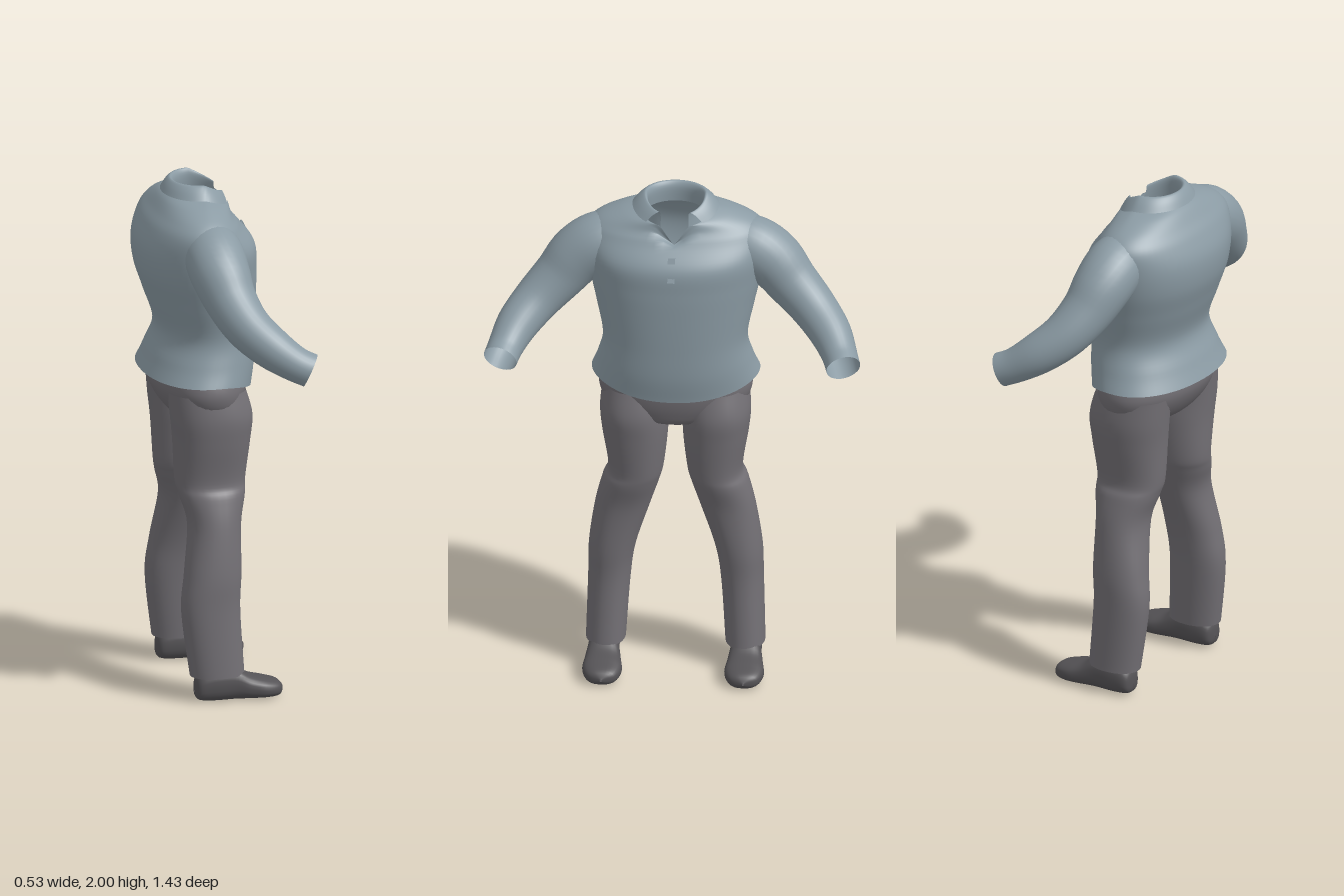
import * as THREE from 'three';

const mat = (name, color) => {
  const m = new THREE.MeshStandardMaterial({ color, side: THREE.DoubleSide });
  m.name = name;
  return m;
};

// Catmull-Rom sample of rows of numbers, t from 0 to 1
function sample(keys, t) {
  const p = t * (keys.length - 1);
  const i = Math.min(Math.floor(p), keys.length - 2), f = p - i;
  const k = (j) => keys[Math.max(0, Math.min(keys.length - 1, j))];
  return keys[0].map((_, c) => {
    const a = k(i - 1)[c], b = k(i)[c], d = k(i + 1)[c], e = k(i + 2)[c];
    return b + 0.5 * f * (d - a + f * (2 * a - 5 * b + 4 * d - e + f * (3 * (b - d) + e - a)));
  });
}

// Grid surface from point(t, angle), closed around the angle unless a range is given
function loft(name, material, rows, cols, point, range) {
  const pos = [], idx = [];
  const n = range ? cols + 1 : cols;
  for (let i = 0; i <= rows; i++) {
    for (let j = 0; j < n; j++) {
      const a = range ? range[0] + (range[1] - range[0]) * j / cols : j / cols * Math.PI * 2;
      pos.push(...point(i / rows, a));
    }
  }
  for (let i = 0; i < rows; i++) {
    for (let j = 0; j < cols; j++) {
      const k = (j + 1) % n;
      const a = i * n + j, b = i * n + k, c = a + n, d = b + n;
      idx.push(a, c, b, b, c, d);
    }
  }
  const g = new THREE.BufferGeometry();
  g.setAttribute('position', new THREE.Float32BufferAttribute(pos, 3));
  g.setIndex(idx);
  g.computeVertexNormals();
  const mesh = new THREE.Mesh(g, material);
  mesh.name = name;
  return mesh;
}

// Rounded horizontal section between x0 and x1, half width hw
function section(x0, x1, hw, a, power = 0.92) {
  const r = (v) => Math.sign(v) * Math.pow(Math.abs(v), power);
  return [(x0 + x1) / 2 + (x1 - x0) / 2 * r(Math.cos(a)), hw * r(Math.sin(a))];
}

export function createModel() {
  const shirt = mat('shirtBlueGrey', 0x8b9ba4);
  const cloth = mat('trouserGrey', 0x737075);
  const leather = mat('shoeDarkGrey', 0x555356);
  const model = new THREE.Group();
  model.name = 'clothedFigure';

  // Shirt body: y, back x, front x, half width
  const body = [
    [1.25, -0.265, 0.145, 0.32], [1.32, -0.235, 0.16, 0.295], [1.42, -0.2, 0.165, 0.275],
    [1.55, -0.24, 0.168, 0.3], [1.66, -0.275, 0.168, 0.325], [1.76, -0.28, 0.16, 0.34],
    [1.84, -0.25, 0.1, 0.34], [1.89, -0.215, 0.07, 0.3], [1.93, -0.185, 0.065, 0.215],
    [1.95, -0.16, 0.07, 0.14],
  ];
  model.add(loft('shirtBody', shirt, 54, 64, (t, a) => {
    let [y, x0, x1, hw] = sample(body, t);
    const c = Math.cos(a), front = Math.max(0, c);
    y -= 0.055 * front * front * Math.max(0, 1 - t * 5);   // hem dips at the front
    y -= 0.04 * front * Math.max(0, (t - 0.7) / 0.3);      // neck slopes forward
    const off = Math.abs(Math.atan2(Math.sin(a), c));
    const v = Math.max(0, 1 - off / 0.5);                  // open V at the throat
    if (v > 0) y = Math.min(y, 1.94 - 0.11 * v + 0.004 * t);
    const [x, z] = section(x0, x1, hw, a);
    return [x, y, z];
  }));

  // Folded collar: back x, front x, half width, height, front drop, end angle
  const fold = [
    [-0.182, 0.078, 0.165, 1.952, 0.045, 0.72], [-0.165, 0.062, 0.14, 1.982, 0.045, 0.62],
    [-0.145, 0.05, 0.115, 2.0, 0.05, 0.52], [-0.13, 0.05, 0.105, 1.975, 0.05, 0.52],
    [-0.13, 0.055, 0.11, 1.92, 0.04, 0.52],
  ];
  model.add(loft('collar', shirt, 16, 48, (t, u) => {
    const [x0, x1, hw, y, drop, end] = sample(fold, t);
    const a = end + (Math.PI * 2 - 2 * end) * u;
    const f = Math.max(0, Math.cos(a));
    const [x, z] = section(x0, x1, hw, a, 1);
    return [x, y - drop * f, z];
  }, [0, 1]));

  // Button strip below the throat
  const strip = new THREE.Mesh(new THREE.BoxGeometry(0.006, 0.12, 0.028), shirt);
  strip.name = 'placket';
  strip.position.set(0.15, 1.765, 0.006);
  strip.rotation.z = 0.42;
  strip.scale.y = 0.8;
  model.add(strip);

  // Sleeves: x, y, z, radius
  const arm = [
    [-0.06, 1.8, 0.2, 0.1], [-0.06, 1.775, 0.29, 0.115], [-0.055, 1.72, 0.37, 0.113],
    [-0.035, 1.64, 0.44, 0.1], [0.01, 1.555, 0.525, 0.089], [0.085, 1.485, 0.595, 0.08],
    [0.165, 1.43, 0.635, 0.068], [0.218, 1.405, 0.652, 0.066],
  ];
  // Trouser legs: y, back x, front x, centre z, half width
  const leg = [
    [1.2, -0.2, 0.1, 0.15, 0.125], [1.1, -0.19, 0.125, 0.157, 0.13], [1.0, -0.18, 0.118, 0.153, 0.125],
    [0.85, -0.172, 0.1, 0.15, 0.106], [0.79, -0.16, 0.093, 0.168, 0.109], [0.68, -0.135, 0.068, 0.2, 0.105],
    [0.5, -0.16, 0.06, 0.24, 0.09], [0.35, -0.175, 0.052, 0.253, 0.081], [0.1, -0.145, 0.065, 0.265, 0.076],
  ];
  // Shoes: x, bottom, top, half width
  const shoe = [
    [-0.13, 0.035, 0.045, 0.003], [-0.118, 0.008, 0.1, 0.043], [-0.06, 0, 0.13, 0.056],
    [0.02, 0, 0.13, 0.06], [0.08, 0, 0.095, 0.069], [0.14, 0, 0.077, 0.075],
    [0.195, 0.004, 0.06, 0.053], [0.216, 0.025, 0.035, 0.004],
  ];
  const frontAxis = new THREE.Vector3(1, 1, 0).normalize();
  for (const [side, s] of [['left', 1], ['right', -1]]) {
    const path = new THREE.CatmullRomCurve3(arm.map(([x, y, z]) => new THREE.Vector3(x, y, z)));
    model.add(loft(side + 'Sleeve', shirt, 32, 28, (t, a) => {
      const p = path.getPoint(t), r = sample(arm, t)[3];
      const dir = path.getTangent(t);
      const u = frontAxis.clone().addScaledVector(dir, -frontAxis.dot(dir)).normalize();
      const w = dir.clone().cross(u);
      p.addScaledVector(u, r * Math.cos(a)).addScaledVector(w, r * Math.sin(a));
      return [p.x, p.y, p.z * s];
    }));
    model.add(loft(side + 'TrouserLeg', cloth, 48, 32, (t, a) => {
      const [y, x0, x1, cz, hw] = sample(leg, t);
      const [x, z] = section(x0, x1, hw, a);
      return [x, y, s * (cz + z)];
    }));
    model.add(loft(side + 'Shoe', leather, 36, 28, (t, a) => {
      const [x, y0, y1, hw] = sample(shoe, t);
      const [y, z] = section(y0, y1, hw, a, 0.8);
      return [x, Math.max(0, y), s * (0.27 + z)];
    }));
  }

  // Trouser seat closing between the legs
  const seat = [
    [1.29, -0.215, 0.12, 0.27], [1.2, -0.222, 0.125, 0.293], [1.12, -0.185, 0.112, 0.255],
    [1.07, -0.13, 0.085, 0.14], [1.045, -0.03, 0, 0.005],
  ];
  model.add(loft('trouserSeat', cloth, 24, 48, (t, a) => {
    const [y, x0, x1, hw] = sample(seat, t);
    const [x, z] = section(x0, x1, hw, a);
    return [x, y, z];
  }));

  return model;
}
